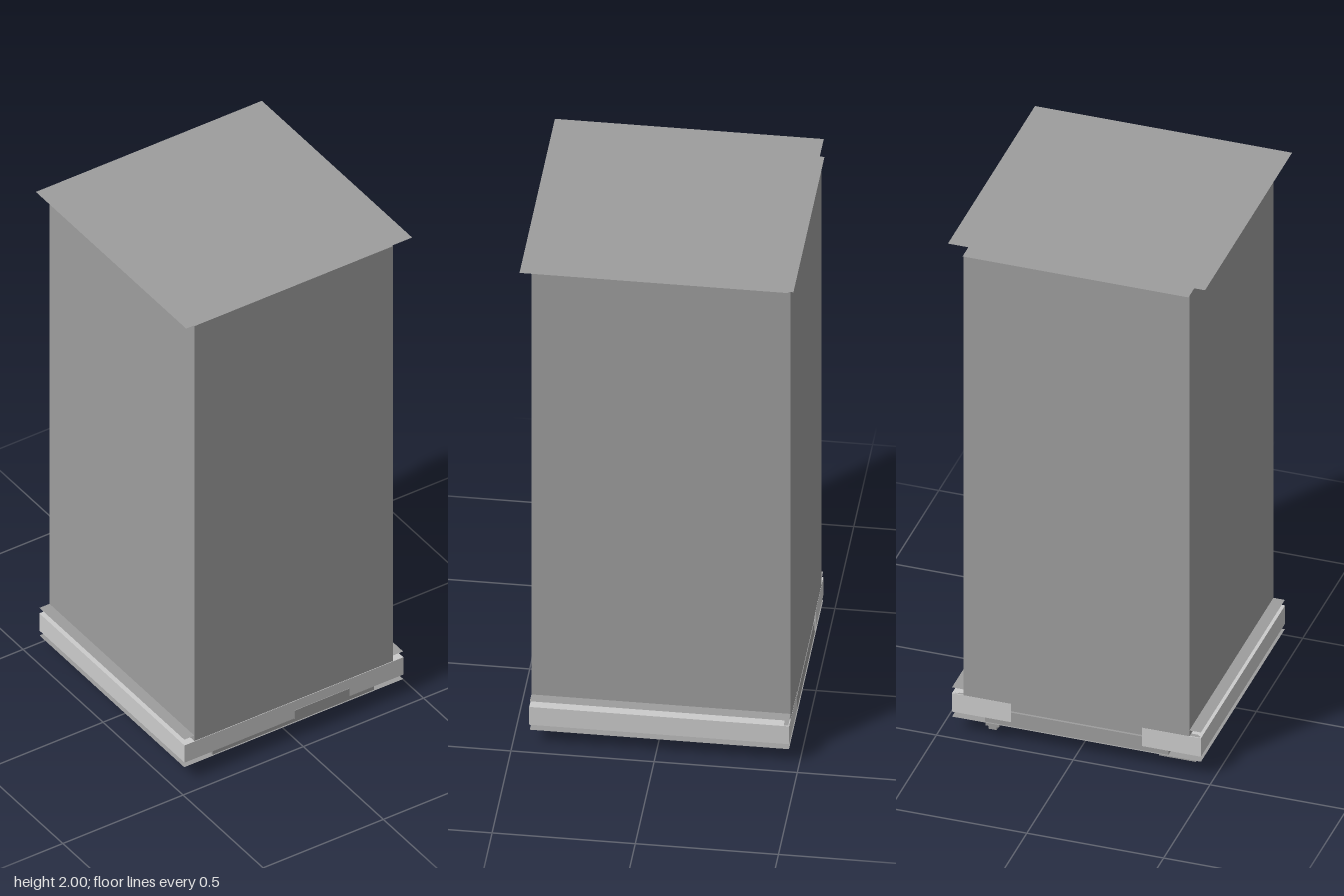
import * as THREE from 'three';

export function createModel() {
  const model = new THREE.Group();
  const material = (color) => new THREE.MeshStandardMaterial({ color, flatShading: true, side: THREE.DoubleSide });
  const light = material(0xcccccc);
  const dark = material(0x9d9d9d);

  const add = (name, mat, geometry, x = 0, y = 0, z = 0) => {
    const mesh = new THREE.Mesh(geometry, mat);
    mesh.name = name;
    mesh.position.set(x, y, z);
    model.add(mesh);
  };
  // Box given by its limits on each axis
  const box = (name, mat, x0, x1, y0, y1, z0, z1) => add(name, mat,
    new THREE.BoxGeometry(Math.abs(x1 - x0), y1 - y0, z1 - z0),
    (x0 + x1) / 2, (y0 + y1) / 2, (z0 + z1) / 2);
  // Flat horizontal sheet
  const sheet = (name, mat, x0, x1, z0, z1, y) => add(name, mat,
    new THREE.PlaneGeometry(Math.abs(x1 - x0), z1 - z0).rotateX(-Math.PI / 2),
    (x0 + x1) / 2, y, (z0 + z1) / 2);
  // Rectangle with a rectangular hole, drawn in x and -z
  const rect = (Kind, x, z0, z1) => new Kind().setFromPoints([
    [-x, -z1], [x, -z1], [x, -z0], [-x, -z0]].map(([a, b]) => new THREE.Vector2(a, b)));
  const frame = (outer, inner) => {
    const shape = rect(THREE.Shape, ...outer);
    shape.holes.push(rect(THREE.Path, ...inner));
    return shape;
  };
  const ring = (name, mat, outer, inner, y0, y1) => add(name, mat,
    new THREE.ExtrudeGeometry(frame(outer, inner), { depth: y1 - y0, bevelEnabled: false })
      .rotateX(-Math.PI / 2), 0, y0, 0);

  // Floating top sheet and cabinet lid
  sheet('topSheet', dark, -0.47, 0.47, -0.465, 0.474, 2);
  sheet('cabinetLid', dark, -0.413, 0.413, -0.475, 0.44, 1.965);

  // Hollow cabinet walls, open at the bottom
  ring('cabinetWalls', dark, [0.413, -0.465, 0.44], [0.409, -0.461, 0.436], 0.155, 1.965);

  // Floor sheet with a rectangular opening and the frame on it
  const opening = [0.22, -0.39, 0.36];
  add('floorSheet', dark, new THREE.ShapeGeometry(frame([0.455, -0.465, 0.44], opening))
    .rotateX(-Math.PI / 2), 0, 0.064, 0);
  ring('floorFrame', dark, [0.335, -0.462, 0.437], opening, 0.066, 0.085);
  ring('openingLip', light, [0.23, -0.4, 0.37], opening, 0.085, 0.14);

  // Base front and back
  box('frontPanel', light, -0.455, 0.455, 0.085, 0.16, 0.425, 0.442);
  box('frontPlate', dark, 0, 0.23, 0.085, 0.12, 0.442, 0.444);
  box('backUpperRail', dark, -0.45, 0.45, 0.132, 0.16, -0.462, -0.446);
  box('backLowerRail', dark, -0.45, 0.45, 0.085, 0.122, -0.462, -0.446);
  box('backSlot', dark, -0.44, 0.44, 0.122, 0.132, -0.453, -0.446);

  for (const s of [-1, 1]) {
    // Side channel, thin ledge above it and corner plate at the back
    box('sideChannel', light, s * 0.413, s * 0.455, 0.085, 0.16, -0.462, 0.44);
    sheet('sideLedge', dark, s * 0.413, s * 0.455, -0.465, 0.44, 0.184);
    box('backCornerPlate', light, s * 0.24, s * 0.455, 0.085, 0.16, -0.4655, -0.462);
    // Bolt heads
    for (const z of [-0.3, -0.05, 0.3]) {
      add('bolt', dark, new THREE.CylinderGeometry(0.012, 0.012, 0.006, 10), s * 0.38, 0.061, z);
    }
    // Feet: mounting plate, bracket and block
    for (const z of [0.1, -0.2]) {
      box('footPlate', dark, s * 0.262, s * 0.302, 0.045, 0.064, z - 0.05, z + 0.05);
      box('footBracket', dark, s * 0.265, s * 0.298, 0.018, 0.045, z - 0.042, z + 0.042);
      if (s < 0) box('squareFoot', dark, -0.3, -0.26, 0, 0.05, z - 0.025, z + 0.025);
      else add('taperedFoot', dark, new THREE.CylinderGeometry(0.022, 0.01, 0.05, 8), 0.28, 0.033, z);
    }
  }

  // Pads and thin outer plates
  for (const z of [0.22, -0.41]) {
    box('padPlate', dark, 0.285, 0.335, 0.05, 0.064, z - 0.05, z + 0.05);
    box('pad', dark, 0.295, 0.325, 0.035, 0.05, z - 0.045, z + 0.045);
    box('outerPlate', dark, -0.435, -0.3, 0.056, 0.063, z - 0.05, z + 0.05);
    box('outerTab', dark, 0.36, 0.39, 0.057, 0.063, z - 0.03, z + 0.03);
  }
  return model;
}
